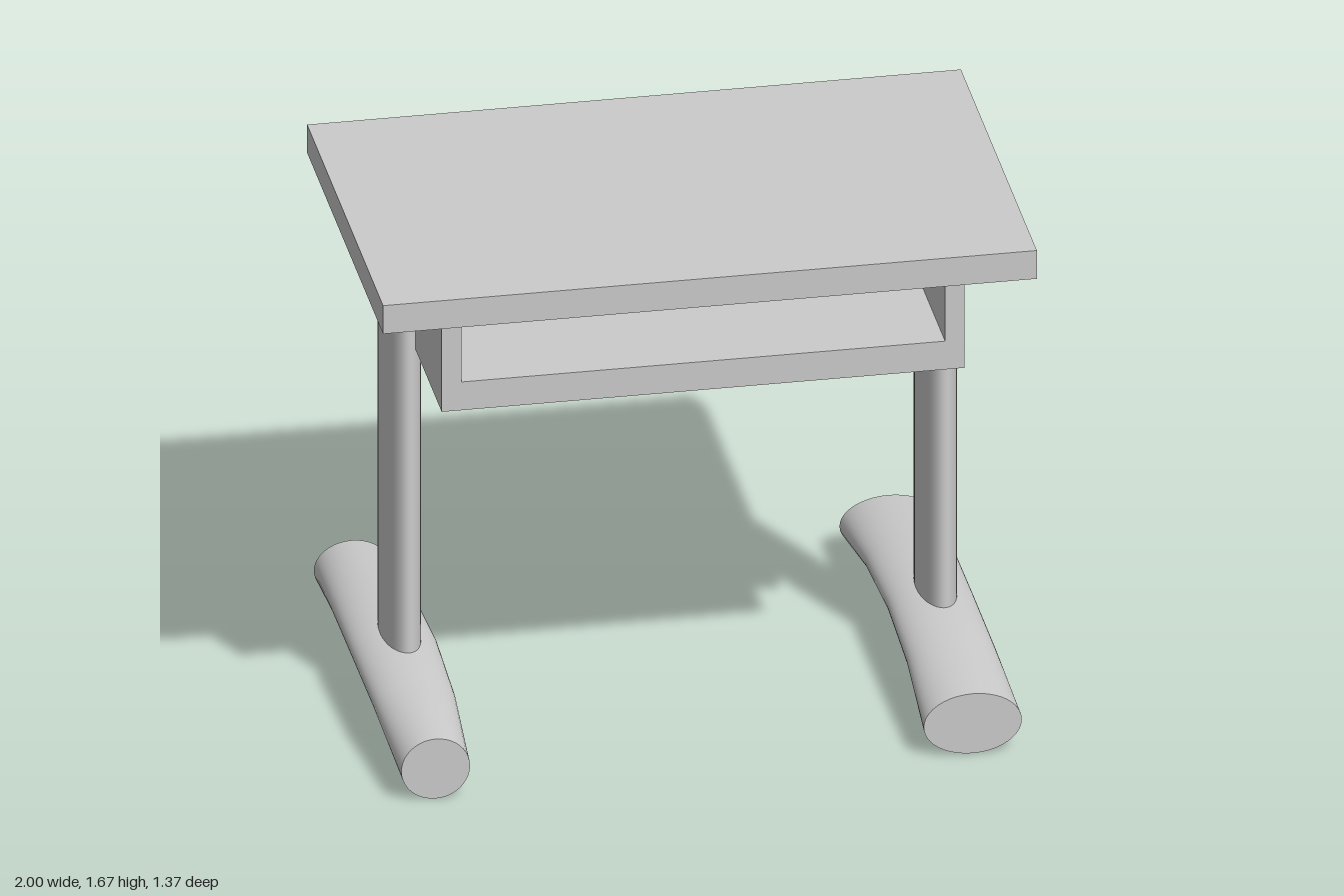
import * as THREE from 'three';

const material = new THREE.MeshStandardMaterial({ color: 0xcccccc });

function add(parent, name, geometry) {
  const mesh = new THREE.Mesh(geometry, material);
  mesh.name = name;
  parent.add(mesh);
  return mesh;
}

// Box given by its lower and upper corners
function boxBetween(a, b) {
  const g = new THREE.BoxGeometry(b[0] - a[0], b[1] - a[1], b[2] - a[2]);
  return g.translate((a[0] + b[0]) / 2, (a[1] + b[1]) / 2, (a[2] + b[2]) / 2);
}

// Oval sections [z, bottom, top, width], lofted back to front with flat end caps
function footGeometry(sections) {
  const sides = 40, positions = [], indices = [];
  const ring = ([z, bottom, top, width]) => {
    for (let i = 0; i < sides; i++) {
      const a = (i / sides) * Math.PI * 2;
      positions.push(Math.cos(a) * width / 2, (bottom + top) / 2 + Math.sin(a) * (top - bottom) / 2, z);
    }
  };
  sections.forEach(ring);
  for (let s = 0; s < sections.length - 1; s++) {
    for (let i = 0; i < sides; i++) {
      const j = (i + 1) % sides;
      const a = s * sides + i, b = s * sides + j, c = b + sides, d = a + sides;
      indices.push(a, b, c, a, c, d);
    }
  }
  // Caps use their own vertices so the rims stay sharp
  [sections[0], sections[sections.length - 1]].forEach((section, end) => {
    const start = positions.length / 3;
    ring(section);
    for (let i = 1; i < sides - 1; i++) {
      if (end) indices.push(start, start + i, start + i + 1);
      else indices.push(start, start + i + 1, start + i);
    }
  });
  const g = new THREE.BufferGeometry();
  g.setAttribute('position', new THREE.Float32BufferAttribute(positions, 3));
  g.setIndex(indices);
  g.computeVertexNormals();
  return g;
}

export function createModel() {
  const desk = new THREE.Group();
  desk.name = 'desk';

  add(desk, 'tabletop', boxBetween([-1, 1.575, -0.555], [1, 1.67, 0.68]));

  // Book tray, open at the front and closed above by the tabletop
  const tray = new THREE.Group();
  tray.name = 'tray';
  desk.add(tray);
  add(tray, 'trayFloor', boxBetween([-0.8, 1.24, -0.44], [0.8, 1.335, 0.57]));
  add(tray, 'trayBack', boxBetween([-0.8, 1.246, -0.5], [0.8, 1.575, -0.44]));
  for (const side of [-1, 1]) {
    const x = side * 0.77;
    add(tray, side > 0 ? 'trayLeftWall' : 'trayRightWall',
      boxBetween([x - 0.03, 1.335, -0.44], [x + 0.03, 1.575, 0.57]));
  }

  // Each leg is an oval column on an arched foot; foot widths run back to front
  const legs = [
    { name: 'right', columnX: -0.825, footX: -0.84, widths: [0.23, 0.255, 0.265, 0.25, 0.21] },
    { name: 'left', columnX: 0.815, footX: 0.803, widths: [0.3, 0.275, 0.265, 0.275, 0.3] },
  ];
  const arch = [
    [-0.685, 0.01, 0.193], [-0.34, 0.085, 0.222], [0, 0.105, 0.236],
    [0.34, 0.088, 0.222], [0.685, 0, 0.2],
  ];
  for (const { name, columnX, footX, widths } of legs) {
    const leg = new THREE.Group();
    leg.name = name + 'Leg';
    desk.add(leg);
    const column = new THREE.CylinderGeometry(1, 1, 1.4, 48);
    column.scale(0.06, 1, 0.148).translate(columnX, 0.875, 0.012);
    add(leg, name + 'Column', column);
    const foot = footGeometry(arch.map((section, i) => [...section, widths[i]]));
    add(leg, name + 'Foot', foot.translate(footX, 0, 0));
  }
  return desk;
}
